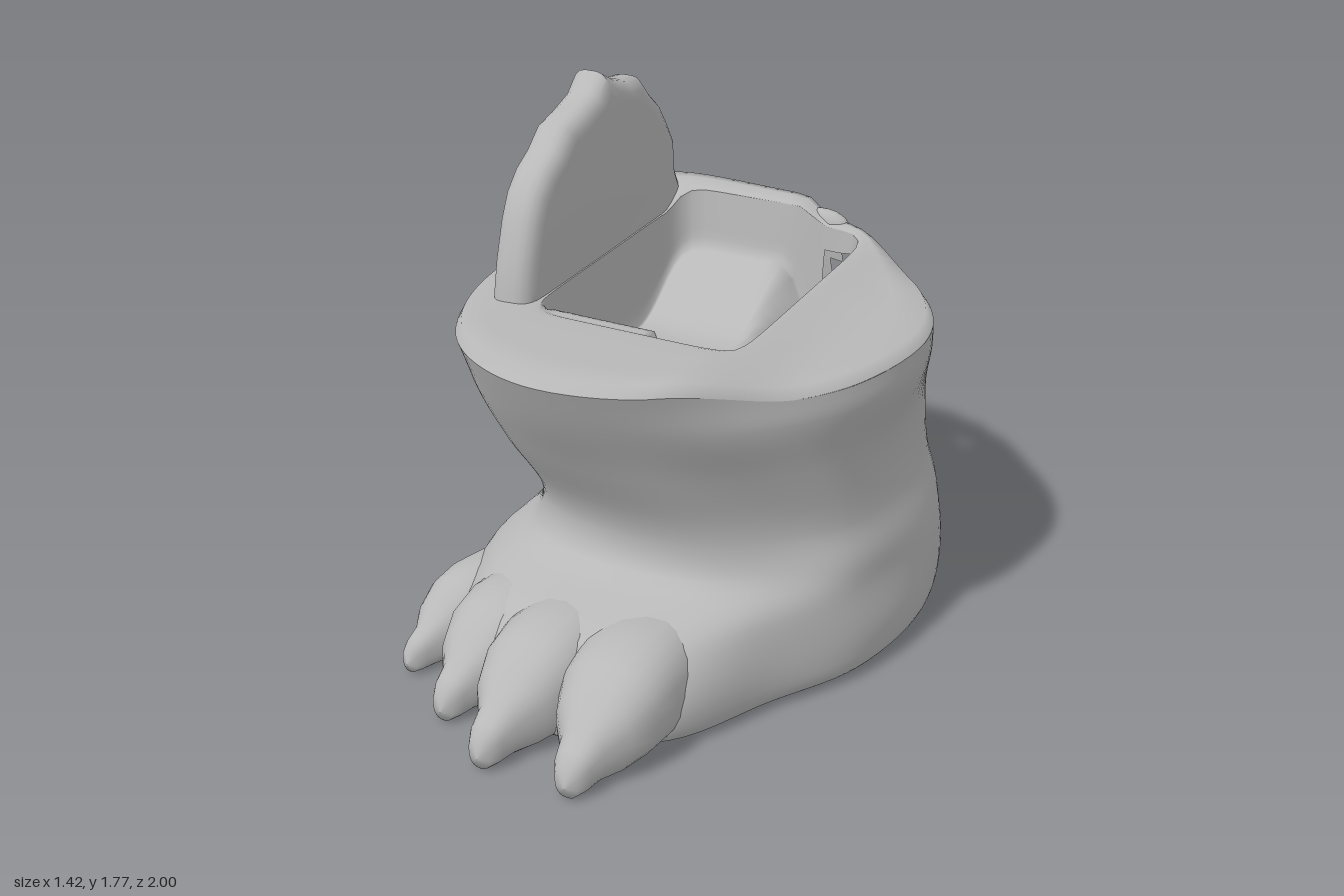
import * as THREE from 'three';
import { toCreasedNormals } from 'three/addons/utils/BufferGeometryUtils.js';

const COLS = 96;
const V = (x, y, z) => new THREE.Vector3(x, y, z);
const smooth = THREE.MathUtils.smoothstep;

// Skin closed rings of equal point count; skip(centre) leaves a gap
function loft(rings, skip = () => false) {
  const n = rings[0].length, pos = [], idx = [];
  rings.forEach(r => r.forEach(p => pos.push(p.x, p.y, p.z)));
  for (let i = 0; i < rings.length - 1; i++) {
    for (let j = 0; j < n; j++) {
      const k = (j + 1) % n;
      const mid = rings[i][j].clone().add(rings[i + 1][k]).multiplyScalar(0.5);
      if (skip(mid)) continue;
      const a = i * n + j, b = i * n + k;
      idx.push(a, b, b + n, a, b + n, a + n);
    }
  }
  const g = new THREE.BufferGeometry();
  g.setAttribute('position', new THREE.Float32BufferAttribute(pos, 3));
  g.setIndex(idx);
  g.computeVertexNormals();
  return g;
}

// Outlines of the leg as [x, z], from the front round by +x
const SOLE = [[-.15, .8], [.24, .68], [.46, .33], [.64, .02], [.7, -.4], [.59, -.76], [.33, -.965],
  [.04, -.99], [-.26, -.85], [-.41, -.5], [-.54, -.07], [-.67, .28], [-.5, .6]];
const INSTEP = [[-.15, .68], [.23, .57], [.45, .3], [.62, .02], [.69, -.38], [.58, -.74], [.33, -.95],
  [.04, -.98], [-.26, -.84], [-.42, -.5], [-.54, -.1], [-.61, .2], [-.48, .48]];
const ANKLE = [[-.1, .37], [.2, .34], [.42, .2], [.58, .02], [.64, -.32], [.56, -.67], [.32, -.89],
  [.02, -.94], [-.27, -.81], [-.43, -.48], [-.5, -.13], [-.47, .12], [-.35, .3]];
const CALF = [[-.15, .49], [.15, .45], [.38, .3], [.57, .08], [.63, -.28], [.56, -.6], [.3, -.84],
  [-.04, -.9], [-.41, -.81], [-.53, -.47], [-.61, -.13], [-.56, .2], [-.4, .42]];
const SHOULDER = [[-.17, .61], [.15, .55], [.39, .38], [.6, .12], [.68, -.28], [.58, -.57], [.3, -.81],
  [-.08, -.87], [-.49, -.82], [-.57, -.49], [-.67, -.12], [-.61, .26], [-.44, .51]];
const BRIM = [[-.18, .69], [.15, .62], [.38, .4], [.6, .12], [.68, -.28], [.57, -.56], [.28, -.78],
  [-.1, -.85], [-.53, -.82], [-.58, -.5], [-.7, -.14], [-.65, .28], [-.46, .57]];

function outline(pts, y, s = 1) {
  const c = new THREE.CatmullRomCurve3(pts.map(([x, z]) => V(x * s, y, (z + .15) * s - .15)), true);
  return Array.from({ length: COLS }, (_, j) => c.getPoint(j / COLS));
}

// Height of the top surface: lower on the +x side, raised along the back
const topY = (x, z) => 1.195 - .075 * smooth(x, .2, .5) - .02 * smooth(-x, .45, .7)
  + .065 * smooth(-z, .64, .8) * (1 - smooth(x, .02, .14));

// Height of the cavity floor: shelf with a front step, deeper channel on +x, ramp up to the back wall
const floorY = (x, z) => {
  const channel = smooth(x, -.01, .09);
  return .85 - .19 * channel + .07 * smooth(x, .17, .27) + .2 * smooth(-z, .4, .8)
    + .32 * smooth(z, .13, .21) * (1 - channel) + .08 * smooth(z, .12, .26) * channel;
};

export function createModel() {
  const model = new THREE.Group();
  const stone = new THREE.MeshStandardMaterial({ color: 0xb8b8b8, side: THREE.DoubleSide });
  stone.name = 'stone grey';
  const add = (name, geometry) => {
    const m = new THREE.Mesh(geometry, stone);
    m.name = name;
    model.add(m);
    return m;
  };
  // Small worn hole through the back wall
  const hole = p => p.x > .14 && p.x < .23 && p.z < -.7 && p.y > .96 && p.y < 1.12;

  // Foot and leg
  const edge = outline(BRIM, 0).map(p => V(p.x, topY(p.x, p.z) - .035, p.z));
  const keys = [outline(SOLE, .005, .91), outline(SOLE, .04, .975), outline(SOLE, .15), outline(INSTEP, .32),
    outline(ANKLE, .43, 1.05), outline(ANKLE, .56), outline(CALF, .8), outline(SHOULDER, 1), edge];
  const columns = edge.map((_, j) => new THREE.CatmullRomCurve3(keys.map(r => r[j])).getPoints(40));
  const skin = Array.from({ length: 41 }, (_, i) => columns.map(c => {
    const p = c[i], fade = smooth(p.y, .05, .25) * (1 - smooth(p.y, 1, 1.12));
    const lump = 1 + fade * .008 * Math.sin(7 * p.x + 9 * p.y) * Math.sin(8 * p.z - 6 * p.y + 1);
    return V(p.x * lump, p.y, (p.z + .15) * lump - .15);
  }));
  add('footAndLeg', loft(skin, hole));
  add('sole', loft([skin[0].map(() => V(0, .005, -.15)), skin[0]]));

  // Flat brim running in to the rounded rectangular opening
  const cx = -.07, cz = -.25;
  const mouth = edge.map(p => {
    const t = Math.atan2(p.z - cz, p.x - cx), c = Math.cos(t), s = Math.sin(t);
    const r = (Math.abs(c / .35) ** 10 + Math.abs(s / .52) ** 10) ** -.1;
    const x = cx + r * c, z = cz + r * s;
    return V(x, topY(x, z) - .015, z);
  });
  const blend = t => edge.map((p, j) => {
    const q = p.clone().lerp(mouth[j], t);
    q.y = topY(q.x, q.z) - .01 * t;
    return q;
  });
  add('brim', loft([edge, blend(.07), blend(.35), blend(.65), blend(.92), mouth]));

  // Cavity walls and floor
  const inner = (s, drop) => mouth.map(p => {
    const x = cx + (p.x - cx) * s, z = cz + (p.z - cz) * s;
    return V(x, THREE.MathUtils.lerp(p.y, floorY(x, z), drop), z);
  });
  const walls = [.12, .25, .4, .55, .7, .85].map(d => inner(1 - .04 * d, d));
  const floor = [.95, .92, .89, .86, .83, .78, .7, .6, .5, .4, .3, .2, .1, 0].map(s => inner(s, 1));
  add('cavity', loft([mouth, ...walls, ...floor], hole));

  // Upright rounded panel with a worn edge
  const profile = [[.27, 1.13], [.26, 1.22], [.24, 1.31], [.2, 1.43], [.16, 1.51], [.1, 1.57], [.03, 1.61],
    [-.04, 1.67], [-.13, 1.69], [-.22, 1.72], [-.28, 1.775], [-.36, 1.73], [-.44, 1.705], [-.52, 1.695],
    [-.58, 1.63], [-.65, 1.57], [-.7, 1.5], [-.75, 1.42], [-.76, 1.31], [-.8, 1.23], [-.81, 1.13]];
  const panel = new THREE.ExtrudeGeometry(new THREE.Shape(profile.map(p => new THREE.Vector2(...p))),
    { depth: .04, bevelThickness: .052, bevelSize: .06, bevelOffset: -.06, bevelSegments: 4 });
  panel.rotateY(-Math.PI / 2).translate(-.475, 0, 0);
  add('uprightPanel', toCreasedNormals(panel, .7));

  // Worn lump where the raised back ends
  const lump = add('backLump', new THREE.IcosahedronGeometry(1, 2));
  lump.scale.set(.1, .07, .04);
  lump.position.set(.1, 1.16, -.815);

  // Toes tapering to claws: [root x, root z, tip x, tip z, half width, height]
  const toes = [[.13, .3, .1, 1, .18, .37], [-.11, .3, -.2, 1, .17, .37],
    [-.32, .2, -.43, .85, .16, .355], [-.48, .1, -.67, .68, .125, .3]];
  // Sections: [distance, width, height]
  const taper = [[0, .8, .9], [.3, 1, 1], [.5, 1, .99], [.64, .92, .9], [.76, .72, .72], [.85, .42, .53],
    [.93, .34, .42], [.98, .22, .33], [1, 0, .25]];
  toes.forEach(([x0, z0, x1, z1, w, h], i) => {
    const rings = taper.map(([t, sw, sh]) => Array.from({ length: 24 }, (_, j) => {
      const a = j / 24 * Math.PI * 2, c = Math.cos(a), s = Math.sin(a);
      const half = h * sh / 2, tall = t === 1 ? 0 : half - .006;
      return V(x0 + (x1 - x0) * t + Math.sign(c) * Math.abs(c) ** .8 * w * sw,
        half + .006 + Math.sign(s) * Math.abs(s) ** .8 * tall, z0 + (z1 - z0) * t);
    }));
    add('toe' + (i + 1), loft(rings));
  });
  return model;
}
